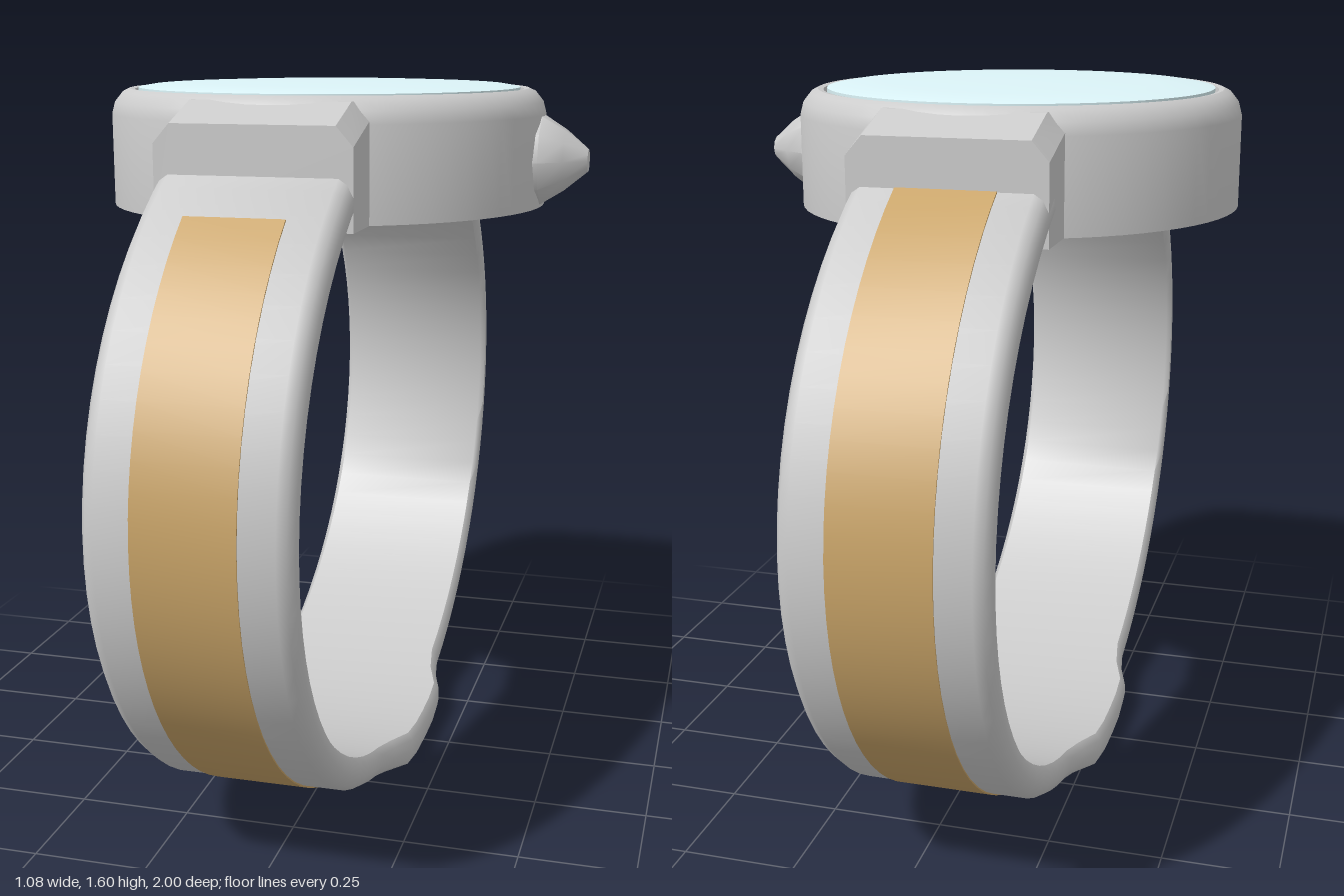
import * as THREE from 'three';
import { toCreasedNormals } from 'three/addons/utils/BufferGeometryUtils.js';

const CX = -0.05; // centre line of case and strap
const grey = new THREE.MeshStandardMaterial({ color: 0xcccccc });
const glassMat = new THREE.MeshStandardMaterial({ color: 0xdcf4f8 });
const stripeMat = new THREE.MeshStandardMaterial({ color: 0xc9a468 });

// Closed solid through convex cross-sections (arrays of [x, y, z])
function loft(rings, crease = 0.6) {
  const n = rings[0].length, last = (rings.length - 1) * n;
  const index = [];
  for (let i = 0; i < rings.length - 1; i++) {
    for (let j = 0; j < n; j++) {
      const a = i * n + j, b = i * n + (j + 1) % n;
      index.push(a, b, a + n, b, b + n, a + n);
    }
  }
  for (let j = 1; j < n - 1; j++) {
    index.push(0, j + 1, j, last, last + j, last + j + 1);
  }
  // Turn the faces outward if the solid came out inverted
  const pts = rings.flat().map(p => new THREE.Vector3(...p));
  let volume = 0;
  for (let i = 0; i < index.length; i += 3) {
    const [a, b, c] = [0, 1, 2].map(k => pts[index[i + k]]);
    volume += a.dot(b.clone().cross(c));
  }
  if (volume < 0) index.reverse();
  const geo = new THREE.BufferGeometry().setFromPoints(pts);
  geo.setIndex(index);
  return toCreasedNormals(geo, crease);
}

function lathe(profile, segments, crease = 0.5) {
  const points = profile.map(p => new THREE.Vector2(...p));
  return toCreasedNormals(new THREE.LatheGeometry(points, segments), crease);
}

// Point on the strap loop: angle from the top, v = 0 inside, 1 outside
function loopPoint(angle, v) {
  const a = 0.94 + 0.057 * v, b = 0.71 + 0.077 * v;
  return { z: a * Math.sin(angle), y: 0.79 + b * Math.cos(angle) };
}

// Sweep a section of [x, v] pairs along part of the loop
function sweep(fromDeg, toDeg, steps, section) {
  const rings = [];
  for (let i = 0; i <= steps; i++) {
    const t = THREE.MathUtils.degToRad(fromDeg + (toDeg - fromDeg) * i / steps);
    rings.push(section(t).map(([x, v]) => {
      const p = loopPoint(t, v);
      return [CX + x, p.y, p.z];
    }));
  }
  return loft(rings, 0.8);
}

// Strap section with soft outer edges, widening into the clasp at the bottom
function strapSection(t) {
  const z = Math.abs(Math.sin(t));
  const flare = Math.cos(t) < 0 ? 1 - THREE.MathUtils.smoothstep(z, 0.13, 0.3) : 0;
  const w = 0.205 + 0.04 * flare;
  const soft = 0.03 * (1 - flare * 0.7);
  return [
    [-w + 0.012, 0], [-w, 0.2], [-w, 0.55], [-w + soft * 0.4, 0.85], [-w + soft, 1],
    [w - soft, 1], [w - soft * 0.4, 0.85], [w, 0.55], [w, 0.2], [w - 0.012, 0],
  ];
}

// Lug: chamfered block whose top slopes down to its outer end
function lugGeometry(side) {
  const ring = (z, top) => [
    [-0.205, 1.33], [0.205, 1.33], [0.205, top - 0.04],
    [0.17, top], [-0.17, top], [-0.205, top - 0.04],
  ].map(([x, y]) => [CX + x, y, side * z]);
  return loft([ring(0.3, 1.575), ring(0.45, 1.575), ring(0.57, 1.535)], 0.3);
}

export function createModel() {
  const model = new THREE.Group();
  model.name = 'wristwatch';
  const add = (name, geometry, material = grey) => {
    const mesh = new THREE.Mesh(geometry, material);
    mesh.name = name;
    model.add(mesh);
    return mesh;
  };

  // Case with chamfered rim and a recess for the glass
  add('case', lathe([
    [0, 1.33], [0.49, 1.33], [0.49, 1.53], [0.483, 1.556], [0.465, 1.578],
    [0.45, 1.585], [0.438, 1.583], [0.434, 1.57], [0, 1.57],
  ], 64)).position.x = CX;

  // Slightly domed glass
  add('glass', lathe([
    [0.43, 1.57], [0.43, 1.587], [0.4, 1.592], [0.3, 1.596], [0.15, 1.599], [0, 1.6],
  ], 64), glassMat).position.x = CX;

  // Tapered crown on the side of the case
  const crown = add('crown', lathe([
    [0, -0.05], [0.1, -0.05], [0.1, 0.01], [0.068, 0.06], [0.025, 0.11], [0, 0.11],
  ], 10, 0.7));
  crown.rotation.z = -Math.PI / 2;
  crown.position.set(0.43, 1.432, 0);

  // Strap loop
  add('strap', sweep(33, 327, 64, strapSection));

  // Lugs and coloured stripes, front (+z) and back (-z)
  const stripeSection = () => [[-0.103, 0.9], [0.103, 0.9], [0.103, 1.045], [-0.103, 1.045]];
  add('frontLug', lugGeometry(1));
  add('backLug', lugGeometry(-1));
  add('frontStripe', sweep(43, 165, 32, stripeSection), stripeMat);
  add('backStripe', sweep(325, 195, 32, stripeSection), stripeMat);

  return model;
}
